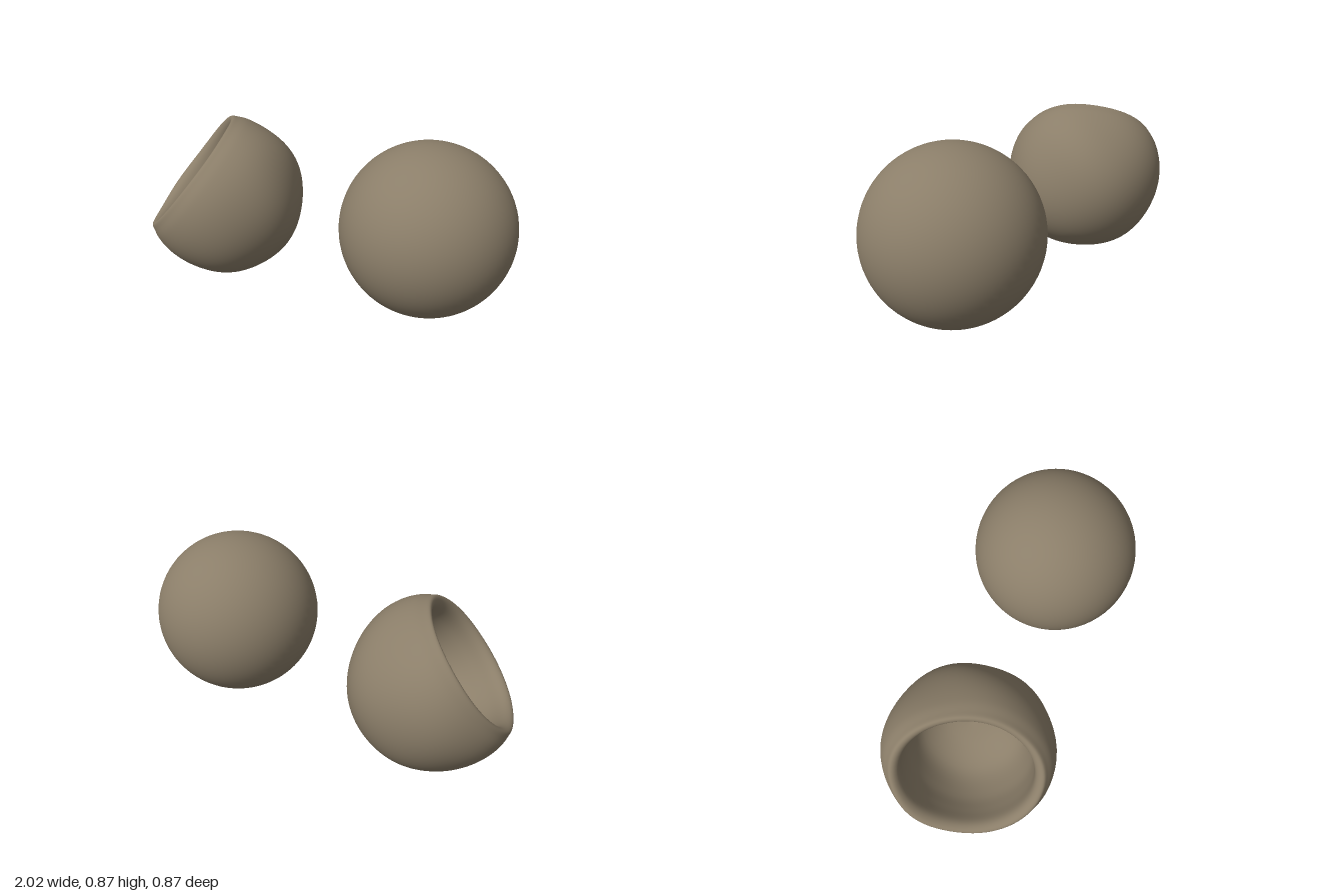
import * as THREE from 'three';
import { mergeVertices } from 'three/addons/utils/BufferGeometryUtils.js';

// Soft, low-frequency lumps for the hand-worked shell
function lumps(x, y, z) {
  return 0.006 * Math.sin(9 * x + 4 * z + 1) * Math.sin(8 * y - 3 * x + 2)
    + 0.005 * Math.sin(11 * z - 5 * y) * Math.cos(10 * x + 1.5);
}

function hollowBowl(radius) {
  // Outer shell from the pole up to the lip
  const outer = [];
  for (let i = 0; i <= 14; i++) {
    const a = -Math.PI / 2 + (i / 14) * (Math.PI / 2 + 0.36);
    outer.push(new THREE.Vector2(radius * Math.cos(a), radius * Math.sin(a)));
  }
  // Rounded lip, undercut wall and hollow floor
  const inner = [
    [0.385, 0.195], [0.366, 0.222], [0.34, 0.215], [0.322, 0.18], [0.32, 0.1],
    [0.308, 0], [0.255, -0.13], [0.14, -0.21], [0, -0.235],
  ].map(([r, t]) => new THREE.Vector2(r, t));
  const profile = new THREE.SplineCurve([...outer, ...inner]).getPoints(110);
  profile.forEach((p) => { p.x = Math.max(p.x, 0); });

  let geo = new THREE.LatheGeometry(profile, 72);
  geo.deleteAttribute('uv');
  geo.deleteAttribute('normal');
  geo = mergeVertices(geo, 1e-5);

  // Tip the opening over to the side
  const opening = new THREE.Vector3(-0.72, 0.63, 0.3).normalize();
  geo.applyQuaternion(new THREE.Quaternion().setFromUnitVectors(new THREE.Vector3(0, 1, 0), opening));

  // Lumps, then a flattened base with a shallow dent
  const pos = geo.attributes.position;
  const v = new THREE.Vector3();
  for (let i = 0; i < pos.count; i++) {
    v.fromBufferAttribute(pos, i);
    v.multiplyScalar(1 + lumps(v.x, v.y, v.z) / radius);
    v.add(new THREE.Vector3(-0.6, 0.38, 0));
    if (v.y < 0.005) {
      v.y = 0.003 + 0.04 * THREE.MathUtils.smoothstep(0.005 - v.y, 0.012, 0.06);
    }
    pos.setXYZ(i, v.x, v.y, v.z);
  }
  geo.computeVertexNormals();
  return geo;
}

export function createModel() {
  const group = new THREE.Group();
  const clay = new THREE.MeshStandardMaterial({ color: 0x8b7e69 });
  clay.name = 'clay brown';

  const bowl = new THREE.Mesh(hollowBowl(0.435), clay);
  bowl.name = 'hollowBowl';
  group.add(bowl);

  const ball = new THREE.Mesh(new THREE.SphereGeometry(0.433, 64, 40), clay);
  ball.name = 'ball';
  ball.position.set(0.567, 0.438, 0);
  group.add(ball);

  return group;
}
